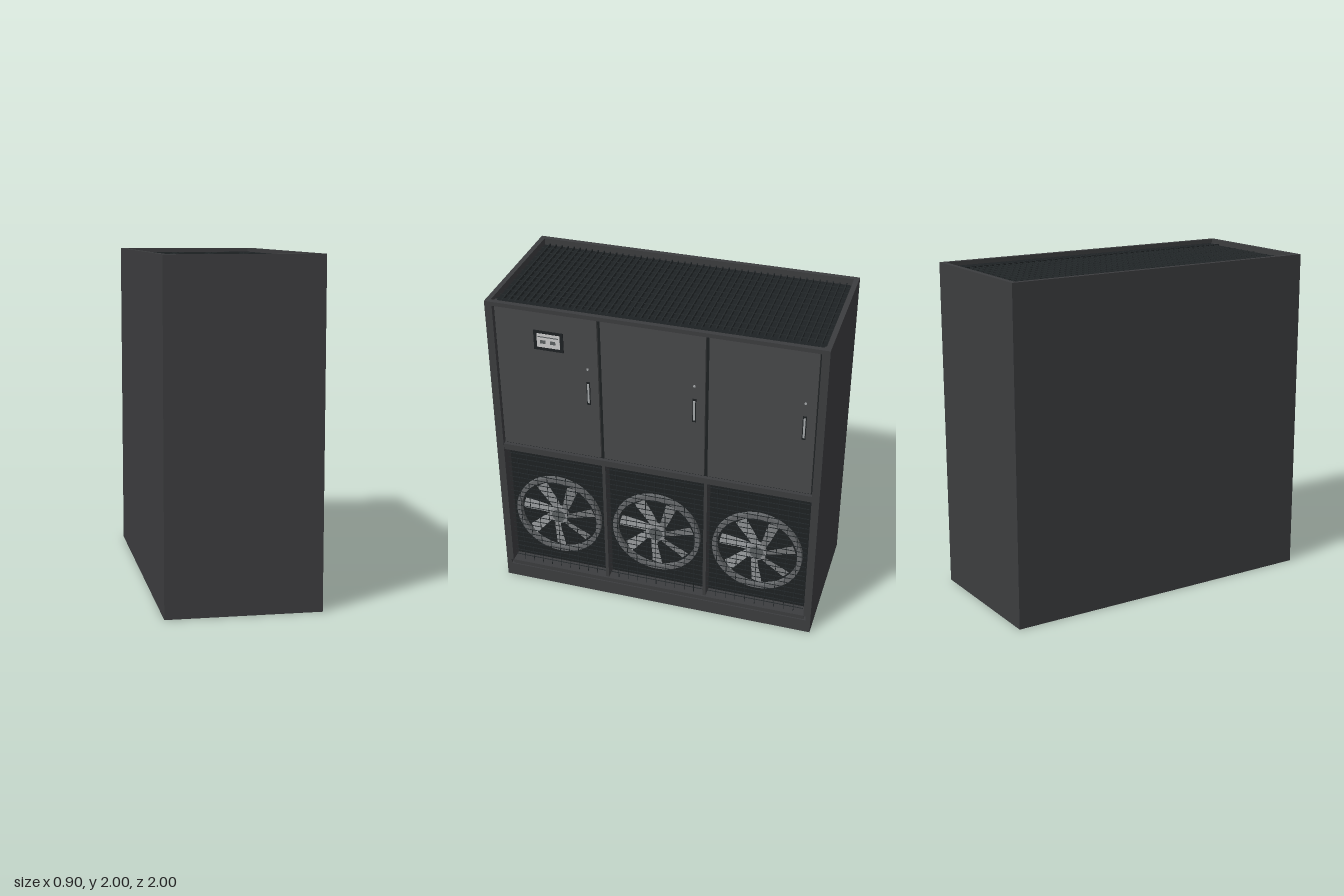
import * as THREE from 'three';
import { mergeGeometries } from 'three/addons/utils/BufferGeometryUtils.js';
import { ParametricGeometry } from 'three/addons/geometries/ParametricGeometry.js';

const paint = (color, side = THREE.FrontSide) => new THREE.MeshStandardMaterial({ color, side });
const MAT = {
  body: paint(0x3c3d3f),
  door: paint(0x47484a),
  dark: paint(0x1d2123),
  mesh: paint(0x24292b),
  ring: paint(0x65686a),
  blade: paint(0x8d9092, THREE.DoubleSide),
  steel: paint(0xa5a8aa),
  screen: paint(0xd0d3d4),
  key: paint(0x5c6062),
};

// Box geometry given by its extents on each axis
function span(x0, x1, y0, y1, z0, z1) {
  return new THREE.BoxGeometry(x1 - x0, y1 - y0, z1 - z0)
    .translate((x0 + x1) / 2, (y0 + y1) / 2, (z0 + z1) / 2);
}

function add(parent, name, geometry, material) {
  const mesh = new THREE.Mesh(geometry, material);
  mesh.name = name;
  parent.add(mesh);
  return mesh;
}

// Evenly spaced values strictly inside a range
function steps(a, b, pitch) {
  const n = Math.round((b - a) / pitch);
  return Array.from({ length: n - 1 }, (_, i) => a + ((b - a) * (i + 1)) / n);
}

function createCabinet() {
  const g = new THREE.Group();
  g.name = 'cabinet';
  for (const s of [-1, 1]) {
    const z = [s * 0.97, s].sort((a, b) => a - b);
    add(g, 'endPanel', span(-0.45, 0.45, 0, 2, z[0], z[1]), MAT.body);
    const p = [s * 0.955, s * 0.97].sort((a, b) => a - b);
    add(g, 'cornerPost', span(0.36, 0.45, 0.12, 1.975, p[0], p[1]), MAT.body);
  }
  add(g, 'backPanel', span(-0.45, -0.42, 0, 2, -0.97, 0.97), MAT.body);
  add(g, 'floor', span(-0.42, 0.36, 0, 0.03, -0.97, 0.97), MAT.body);
  add(g, 'topRail', span(0.42, 0.45, 1.975, 2, -0.97, 0.97), MAT.body);
  add(g, 'middleRail', span(0.36, 0.445, 0.985, 1.025, -0.955, 0.955), MAT.body);
  add(g, 'plinth', span(0.36, 0.45, 0, 0.09, -0.97, 0.97), MAT.body);
  add(g, 'sillRail', span(0.36, 0.446, 0.093, 0.12, -0.955, 0.955), MAT.body);
  add(g, 'innerBacking', span(0.34, 0.36, 0.03, 1.975, -0.97, 0.97), MAT.dark);
  add(g, 'doorGapLiner', span(0.36, 0.422, 1.025, 1.975, -0.955, 0.955), MAT.dark);
  return g;
}

// Recessed grating in the roof: dark tray, slats across and thin rods along
function createTopGrille() {
  const g = new THREE.Group();
  g.name = 'topGrille';
  add(g, 'tray', span(-0.42, 0.42, 1.945, 1.957, -0.97, 0.97), MAT.dark);
  const slats = steps(-0.97, 0.97, 0.04).map(z => span(-0.41, 0.41, 1.957, 1.975, z - 0.003, z + 0.003));
  const rods = steps(-0.42, 0.42, 0.065).map(x => span(x - 0.002, x + 0.002, 1.965, 1.97, -0.97, 0.97));
  add(g, 'slats', mergeGeometries(slats), MAT.mesh);
  add(g, 'rods', mergeGeometries(rods), MAT.mesh);
  return g;
}

function createDoor(z) {
  const g = new THREE.Group();
  g.name = 'door';
  add(g, 'doorPanel', span(0.42, 0.44, 1.04, 1.97, -0.308, 0.308), MAT.door);
  // Pull handle in its dark plate, with a lock above
  add(g, 'handlePlate', span(0.44, 0.443, 1.405, 1.56, -0.257, -0.235), MAT.dark);
  add(g, 'handle', span(0.443, 0.448, 1.42, 1.548, -0.252, -0.241), MAT.steel);
  const lock = add(g, 'lock', new THREE.CylinderGeometry(0.007, 0.007, 0.006, 16).rotateZ(Math.PI / 2), MAT.steel);
  lock.position.set(0.442, 1.645, -0.246);
  g.position.z = z;
  return g;
}

function createControlPanel() {
  const g = new THREE.Group();
  g.name = 'controlPanel';
  add(g, 'bezel', span(0.44, 0.445, 1.73, 1.855, 0.532, 0.712), MAT.dark);
  add(g, 'screen', span(0.445, 0.447, 1.75, 1.838, 0.552, 0.692), MAT.screen);
  add(g, 'screenBar', span(0.447, 0.448, 1.815, 1.821, 0.56, 0.684), MAT.key);
  for (const z of [0.595, 0.655])
    add(g, 'screenKey', span(0.447, 0.448, 1.775, 1.797, z - 0.016, z + 0.016), MAT.key);
  return g;
}

// Swept, pitched blade pointing along +x in a fan facing +z
function bladeGeometry() {
  return new ParametricGeometry((u, v, p) => {
    const r = 0.055 + 0.18 * u;
    const side = v - 0.5;
    const a = -0.25 * (1 - u) * (1 - u) + side * (0.042 + 0.026 * u) / r;
    p.set(r * Math.cos(a), r * Math.sin(a), side * 0.018);
  }, 8, 4);
}

function createFan(z) {
  const fan = new THREE.Group();
  fan.name = 'fan';
  const outline = new THREE.Shape().absarc(0, 0, 0.278, 0, Math.PI * 2);
  outline.holes.push(new THREE.Path().absarc(0, 0, 0.25, 0, Math.PI * 2, true));
  add(fan, 'fanRing', new THREE.ExtrudeGeometry(outline, { depth: 0.03, bevelEnabled: false, curveSegments: 48 }), MAT.ring)
    .position.z = -0.015;
  const blade = bladeGeometry();
  for (let i = 0; i < 7; i++)
    add(fan, 'fanBlade', blade, MAT.blade).rotation.z = 0.24 + (i * Math.PI * 2) / 7;
  add(fan, 'fanHub', new THREE.CylinderGeometry(0.06, 0.06, 0.03, 32).rotateX(Math.PI / 2), MAT.blade);
  add(fan, 'hubCap', new THREE.CylinderGeometry(0.043, 0.043, 0.034, 32).rotateX(Math.PI / 2), MAT.key);
  fan.rotation.y = Math.PI / 2;
  fan.position.set(0.4, 0.522, z);
  return fan;
}

// Fan compartment: frame strips, fan and wire guard
function createFanBay(z) {
  const g = new THREE.Group();
  g.name = 'fanBay';
  const z0 = z - 0.308, z1 = z + 0.308;
  const wires = [
    ...steps(0.12, 0.985, 0.036).map(y => span(0.42, 0.423, y - 0.002, y + 0.002, z0, z1)),
    ...steps(z0, z1, 0.062).map(w => span(0.418, 0.421, 0.12, 0.985, w - 0.0015, w + 0.0015)),
  ];
  add(g, 'wireGuard', mergeGeometries(wires), MAT.mesh);
  g.add(createFan(z));
  return g;
}

export function createModel() {
  const model = new THREE.Group();
  model.name = 'coolingUnit';
  model.add(createCabinet(), createTopGrille(), createControlPanel());
  for (const z of [-0.637, 0, 0.637]) model.add(createDoor(z), createFanBay(z));
  // Posts between the fan bays
  for (const z of [-0.318, 0.318])
    add(model, 'bayDivider', span(0.36, 0.435, 0.12, 0.985, z - 0.01, z + 0.01), MAT.body);
  return model;
}
